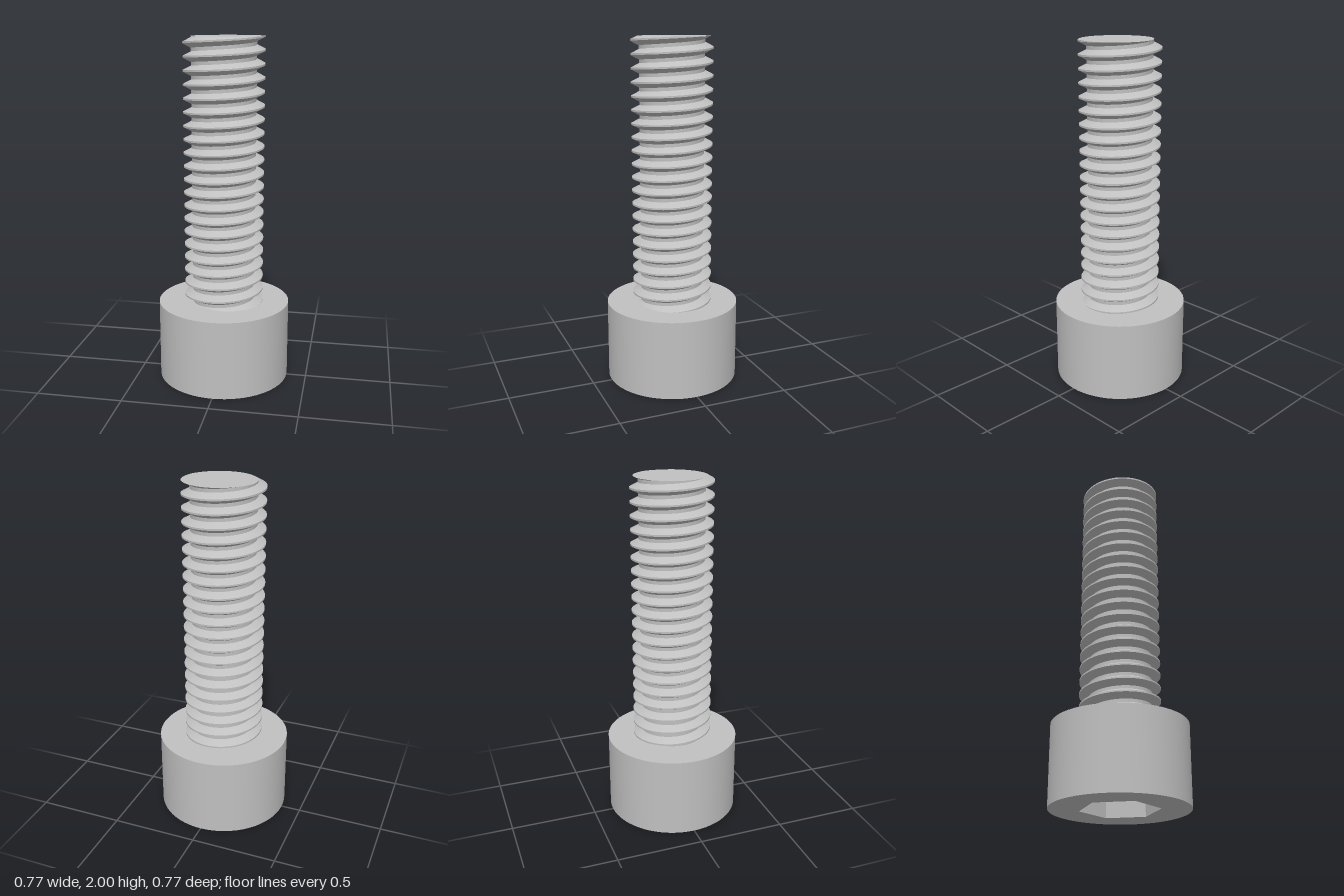
import * as THREE from 'three';

const MM = 1 / 13;                 // the bolt is 26 units long, scaled to 2
const HEAD_R = 5 * MM, HEAD_H = 6 * MM, TOP = 26 * MM;
const PITCH = MM, CREST = 3 * MM, ROOT = 2.39 * MM;
const HEX_R = (2.5 / Math.cos(Math.PI / 6)) * MM, HEX_DEPTH = 3 * MM;
const SEG = 96;

// thread profile over one pitch: [start, end, start radius, end radius]
const BANDS = [
  [-1 / 16, 1 / 16, CREST, CREST],
  [1 / 16, 6 / 16, CREST, ROOT],
  [6 / 16, 10 / 16, ROOT, ROOT],
  [10 / 16, 15 / 16, ROOT, CREST],
];

// right-handed helical thread, trimmed flat at the head and at the tip
function threadGeometry() {
  const pos = [], nor = [], rim = [];
  const point = (a, y, base, [u0, u1, r0, r1]) => {
    const yc = THREE.MathUtils.clamp(y, HEAD_H, TOP);
    const t = ((yc - base) / PITCH - u0) / (u1 - u0);
    const r = r0 + (r1 - r0) * t;
    const slope = (r1 - r0) / ((u1 - u0) * PITCH);
    const twist = (slope * PITCH) / (2 * Math.PI * r);
    const c = Math.cos(a), s = Math.sin(a);
    return {
      p: new THREE.Vector3(r * c, yc, -r * s),
      n: new THREE.Vector3(c - twist * s, -slope, -s - twist * c).normalize(),
    };
  };
  const tri = (...v) => v.forEach(({ p, n }) => { pos.push(...p); nor.push(...n); });

  for (let i = 0; i < SEG; i++) {
    const a0 = (i / SEG) * 2 * Math.PI, a1 = ((i + 1) / SEG) * 2 * Math.PI;
    for (let k = -1; k <= 21; k++) {
      const b0 = HEAD_H + PITCH * (k + i / SEG), b1 = b0 + PITCH / SEG;
      for (const band of BANDS) {
        const lo = band[0] * PITCH, hi = band[1] * PITCH;
        if (b1 + hi <= HEAD_H || b0 + lo >= TOP) continue;
        const a = point(a0, b0 + lo, b0, band), b = point(a1, b1 + lo, b1, band);
        const c = point(a1, b1 + hi, b1, band), d = point(a0, b0 + hi, b0, band);
        // a column wholly outside the trim collapses onto its neighbour's rim
        for (const [v, w] of [[a, d], [b, c]]) {
          if (v.p.y === w.p.y) {
            const rr = THREE.MathUtils.clamp(Math.hypot(v.p.x, v.p.z), ROOT, CREST);
            const f = rr / Math.hypot(v.p.x, v.p.z);
            for (const q of [v, w]) { q.p.x *= f; q.p.z *= f; }
          }
        }
        tri(a, b, c);
        tri(a, c, d);
      }
    }
    // radius of the flat cut at the tip
    const u = THREE.MathUtils.euclideanModulo(-i / SEG + 1 / 16, 1) - 1 / 16;
    const [u0, u1, r0, r1] = BANDS.find((b) => u <= b[1] + 1e-9) || BANDS[3];
    const r = r0 + ((r1 - r0) * (u - u0)) / (u1 - u0);
    rim.push({
      p: new THREE.Vector3(r * Math.cos(a0), TOP, -r * Math.sin(a0)),
      n: new THREE.Vector3(0, 1, 0),
    });
  }
  // flat tip
  const centre = { p: new THREE.Vector3(0, TOP, 0), n: new THREE.Vector3(0, 1, 0) };
  rim.forEach((v, i) => tri(centre, v, rim[(i + 1) % SEG]));

  const g = new THREE.BufferGeometry();
  g.setAttribute('position', new THREE.Float32BufferAttribute(pos, 3));
  g.setAttribute('normal', new THREE.Float32BufferAttribute(nor, 3));
  return g;
}

export function createModel() {
  const steel = new THREE.MeshStandardMaterial({ color: 0xc0c0c0 });
  steel.name = 'steel';
  const model = new THREE.Group();
  model.name = 'socketHeadBolt';
  const head = new THREE.Group();
  head.name = 'head';
  model.add(head);
  const add = (parent, name, geometry) => {
    const mesh = new THREE.Mesh(geometry, steel);
    mesh.name = name;
    parent.add(mesh);
  };

  // cylindrical head
  add(head, 'headSide', new THREE.CylinderGeometry(HEAD_R, HEAD_R, HEAD_H, 64, 1, true)
    .translate(0, HEAD_H / 2, 0));
  add(head, 'headShoulder', new THREE.CircleGeometry(HEAD_R, 64)
    .rotateX(-Math.PI / 2).translate(0, HEAD_H, 0));

  // underside with a hexagonal opening
  const face = new THREE.Shape().absarc(0, 0, HEAD_R, 0, 2 * Math.PI);
  const corners = Array.from({ length: 6 }, (_, i) => new THREE.Vector2(
    HEX_R * Math.cos((i * Math.PI) / 3), HEX_R * Math.sin((i * Math.PI) / 3)));
  face.holes.push(new THREE.Path(corners));
  add(head, 'headFace', new THREE.ShapeGeometry(face, 32).rotateX(Math.PI / 2));

  // hexagonal socket, walls facing inward
  const walls = new THREE.CylinderGeometry(HEX_R, HEX_R, HEX_DEPTH, 6, 1, true)
    .rotateY(Math.PI / 6).scale(-1, 1, 1).translate(0, HEX_DEPTH / 2, 0).toNonIndexed();
  walls.computeVertexNormals();
  add(head, 'socketWalls', walls);
  add(head, 'socketFloor', new THREE.CircleGeometry(HEX_R, 6)
    .rotateX(Math.PI / 2).translate(0, HEX_DEPTH, 0));

  add(model, 'threadedShank', threadGeometry());
  return model;
}
